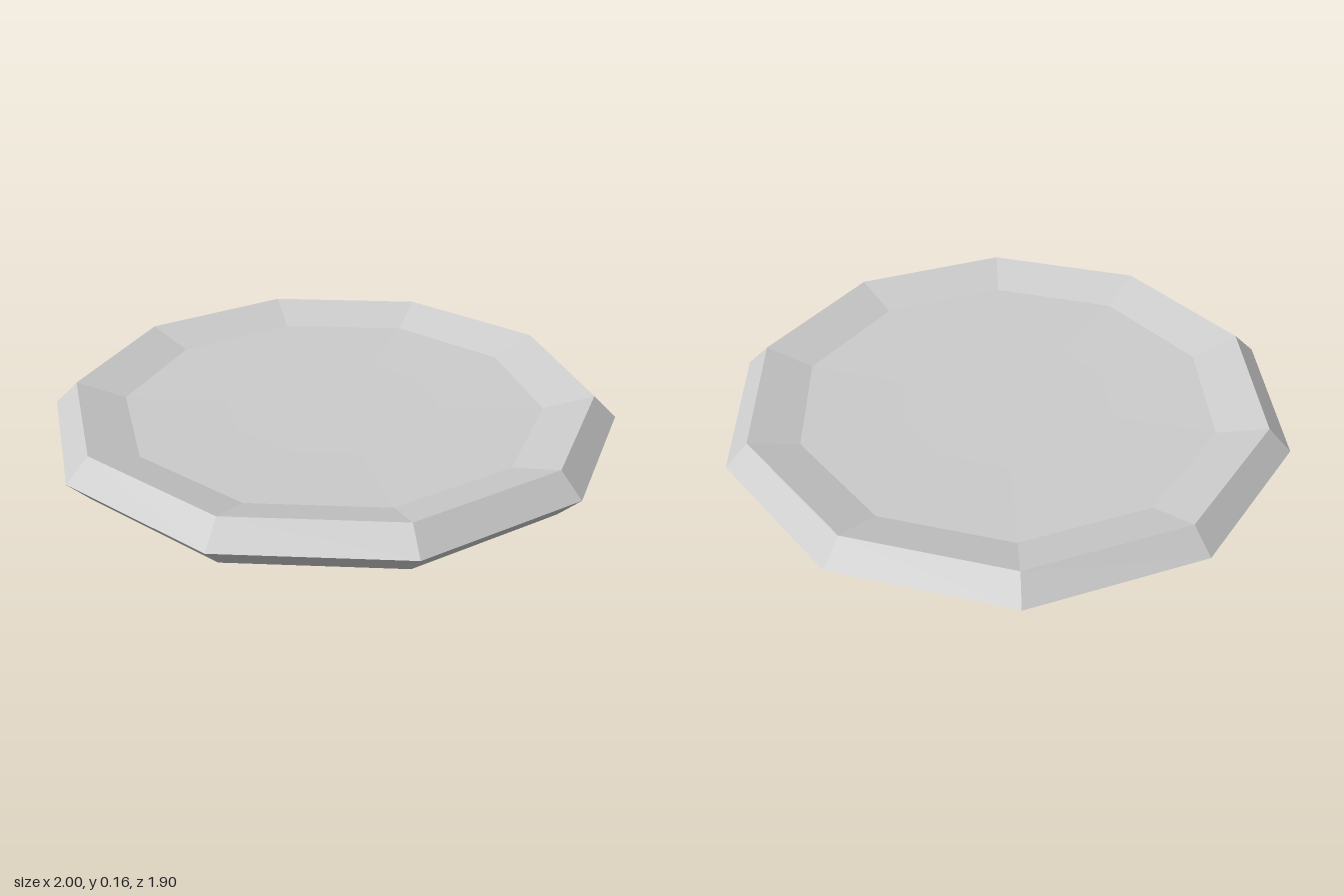
import * as THREE from 'three';

const SIDES = 10;

export function createModel() {
  const model = new THREE.Group();
  model.name = 'plate';
  const material = new THREE.MeshStandardMaterial({
    color: 0xcccccc,
    flatShading: true,
    side: THREE.DoubleSide,
  });

  // Revolve a radius/height profile into a ten-sided shell with a corner on +x
  const addTurned = (name, profile) => {
    const points = profile.map(([r, y]) => new THREE.Vector2(r, y));
    const mesh = new THREE.Mesh(new THREE.LatheGeometry(points, SIDES, Math.PI / 2), material);
    mesh.name = name;
    model.add(mesh);
  };

  const rim = 0.92, height = 0.16;

  // Bevelled outer wall, open underneath
  addTurned('rim', [[rim, 0], [1, height / 2], [rim, height]]);
  // Thin sunken dish with a barely hollowed floor
  addTurned('dish', [[rim, height], [0.745, 0.107], [0.38, 0.101], [0, 0.1]]);

  return model;
}
